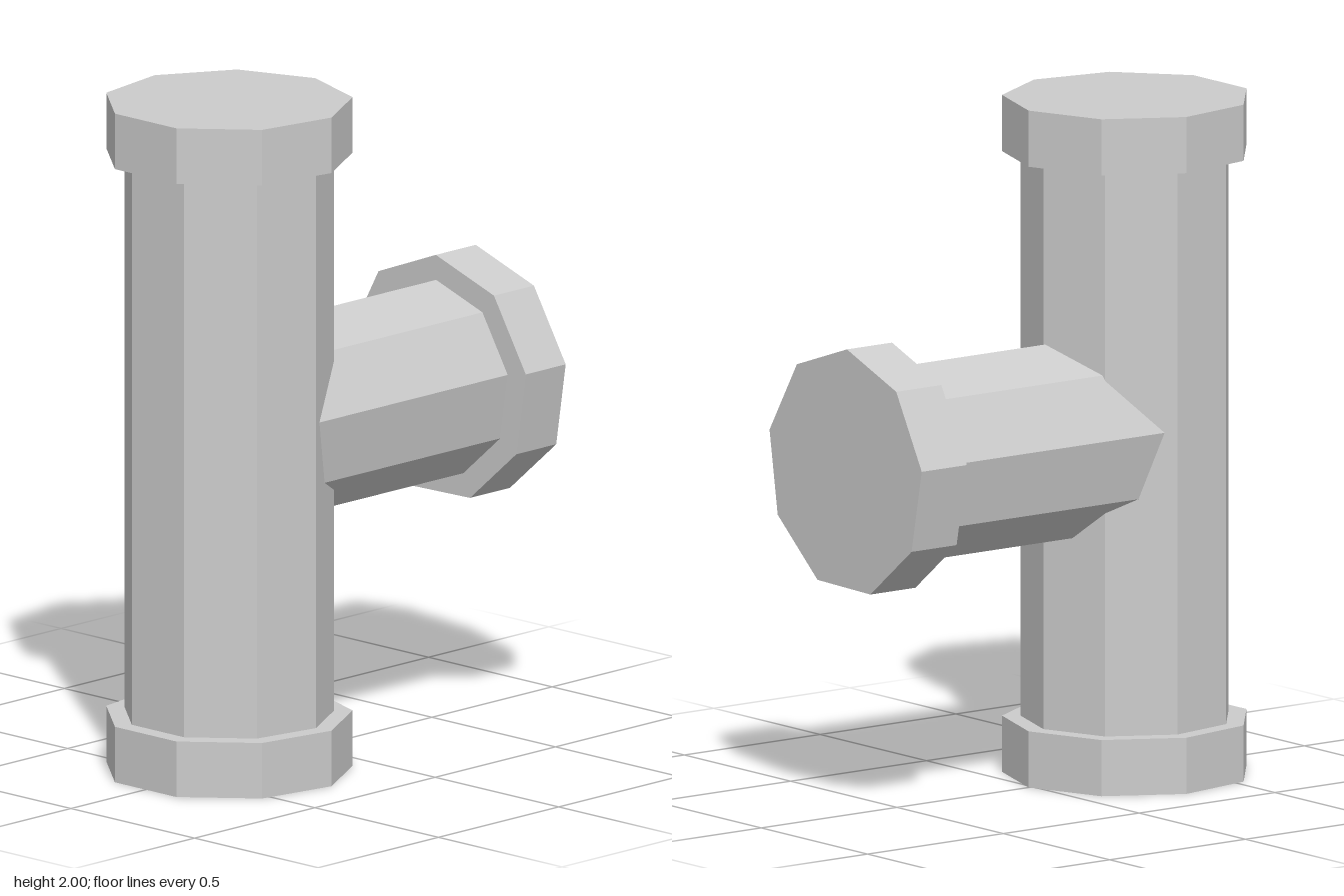
import * as THREE from 'three';

const SIDES = 9;
const PIPE_X = -0.348;      // axis of the upright pipe
const COLLAR_R = 0.3635;
const COLLAR_H = 0.166;

const material = new THREE.MeshStandardMaterial({ color: 0xcccccc, flatShading: true });

// Nine-sided solid turned around y from [radius, height] pairs, bottom to top
function turned(name, profile, startAngle) {
  const points = profile.map(([r, y]) => new THREE.Vector2(r, y));
  const mesh = new THREE.Mesh(new THREE.LatheGeometry(points, SIDES, startAngle), material);
  mesh.name = name;
  return mesh;
}

export function createModel() {
  const model = new THREE.Group();
  model.name = 'pipeTee';

  // Upright pipe with a closed collar at each end, one corner towards +x
  const r = 0.309;
  const upright = turned('uprightPipe', [
    [0, 0], [COLLAR_R, 0], [COLLAR_R, COLLAR_H], [r, COLLAR_H],
    [r, 2 - COLLAR_H], [COLLAR_R, 2 - COLLAR_H], [COLLAR_R, 2], [0, 2],
  ], Math.PI / 2);
  upright.position.x = PIPE_X;
  model.add(upright);

  // Side branch: starts inside the upright pipe and ends in a closed collar
  const b = 0.289;
  const length = 0.69 - PIPE_X;
  const branch = turned('branchPipe', [
    [b, 0], [b, length - COLLAR_H], [COLLAR_R, length - COLLAR_H],
    [COLLAR_R, length], [0, length],
  ], -Math.PI / 2);
  // Lay it along +x with a corner upwards, turned very slightly about its axis
  branch.geometry.rotateZ(-Math.PI / 2).rotateX(-0.02);
  branch.position.set(PIPE_X, 1.014, 0);
  model.add(branch);

  return model;
}
